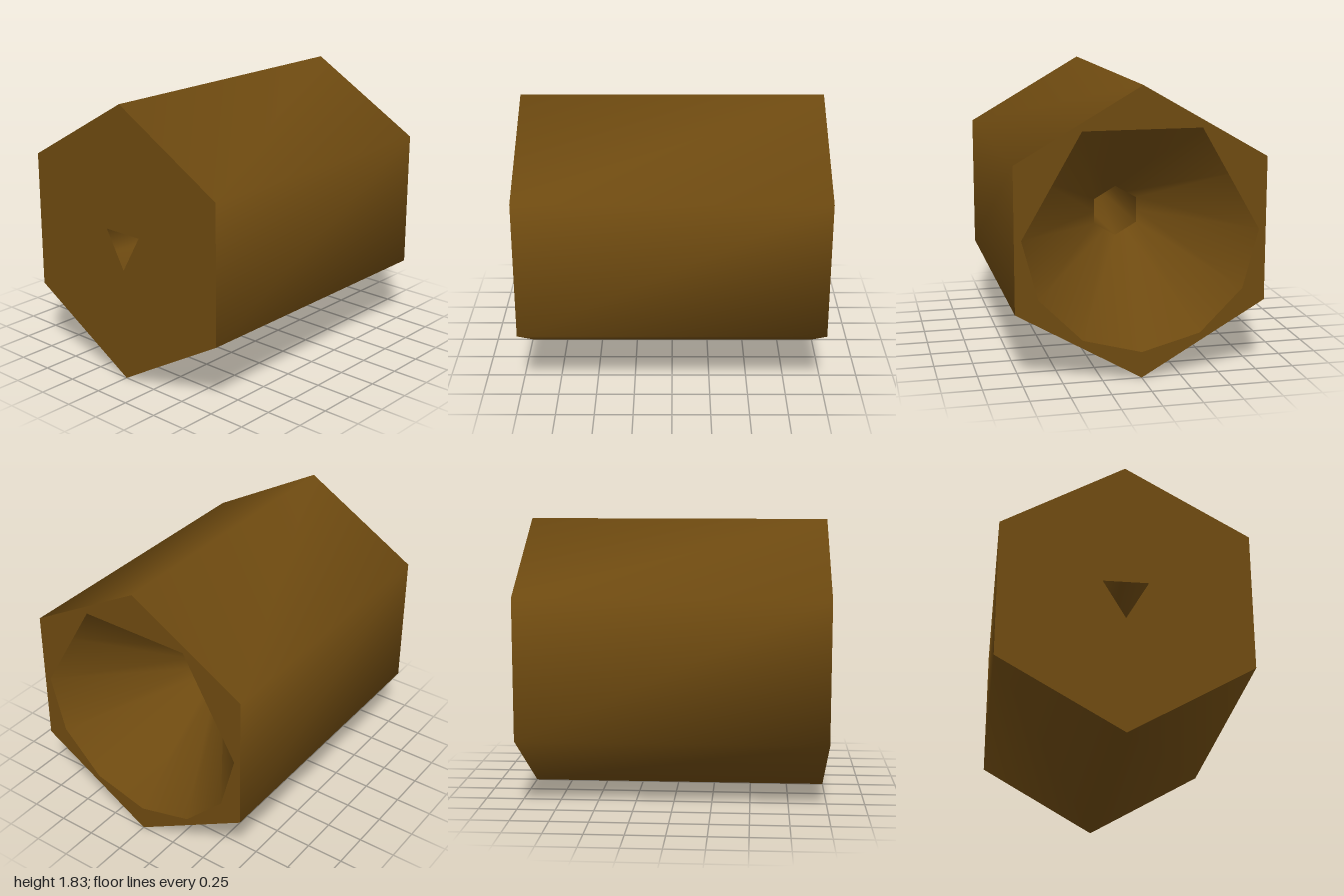
import * as THREE from 'three';

const CENTER_Y = 0.917;
const rad = THREE.MathUtils.degToRad;

// Points on a circle at the given angles (degrees, counter-clockwise from +x).
const polar = (r, angles) =>
  angles.map((a) => new THREE.Vector2(r * Math.cos(rad(a)), r * Math.sin(rad(a))));
const steps = (n, start = 0) => Array.from({ length: n }, (_, i) => start + (i * 360) / n);

// Smooth wall between two rings of equal count; inward flips it for bores.
function loft(back, zBack, front, zFront, inward) {
  const n = back.length, pos = [], idx = [];
  back.forEach((p) => pos.push(p.x, p.y, zBack));
  front.forEach((p) => pos.push(p.x, p.y, zFront));
  for (let i = 0; i < n; i++) {
    const j = (i + 1) % n;
    if (inward) idx.push(i, n + i, j, j, n + i, n + j);
    else idx.push(i, j, n + i, j, n + j, n + i);
  }
  const g = new THREE.BufferGeometry();
  g.setAttribute('position', new THREE.Float32BufferAttribute(pos, 3));
  g.setIndex(idx);
  g.computeVertexNormals();
  return g;
}

// Flat end plate with one opening, facing +z.
function plate(outline, opening) {
  const shape = new THREE.Shape(outline);
  shape.holes.push(new THREE.Path(opening));
  return new THREE.ShapeGeometry(shape);
}

export function createModel() {
  const group = new THREE.Group();
  const material = new THREE.MeshStandardMaterial({ color: 0x6e4a10 });
  const add = (name, geometry) => {
    const mesh = new THREE.Mesh(geometry, material);
    mesh.name = name;
    mesh.position.y = CENTER_Y;
    group.add(mesh);
  };

  const hexagon = polar(0.917, steps(6, 30));
  const boreRing = polar(0.167, steps(6, 30));
  const throatZ = -0.27;

  // Hexagonal body
  add('outerShell', loft(hexagon, -1, hexagon, 1, false));

  // Front plate with a triangular opening
  add('frontPlate', plate(hexagon, polar(0.167, [30, 150, 270])).translate(0, 0, 1));

  // Back plate: coarse upper rim, finer lower rim
  const rim = polar(0.75, [0, 60, 120, 180, 210, 240, 270, 300, 330]);
  add('backPlate', plate(hexagon, rim).rotateY(Math.PI).translate(0, 0, -1));

  // Funnel from the twelve-sided mouth down to the hexagonal throat
  const throat = steps(12).map((a, i) =>
    polar(i % 2 ? 0.167 : 0.167 * Math.cos(Math.PI / 6), [a])[0]);
  add('funnel', loft(polar(0.75, steps(12)), -1, throat, throatZ, true));

  // Narrow bore from the throat to the front plate
  add('bore', loft(boreRing, throatZ, boreRing, 1, true));

  return group;
}
